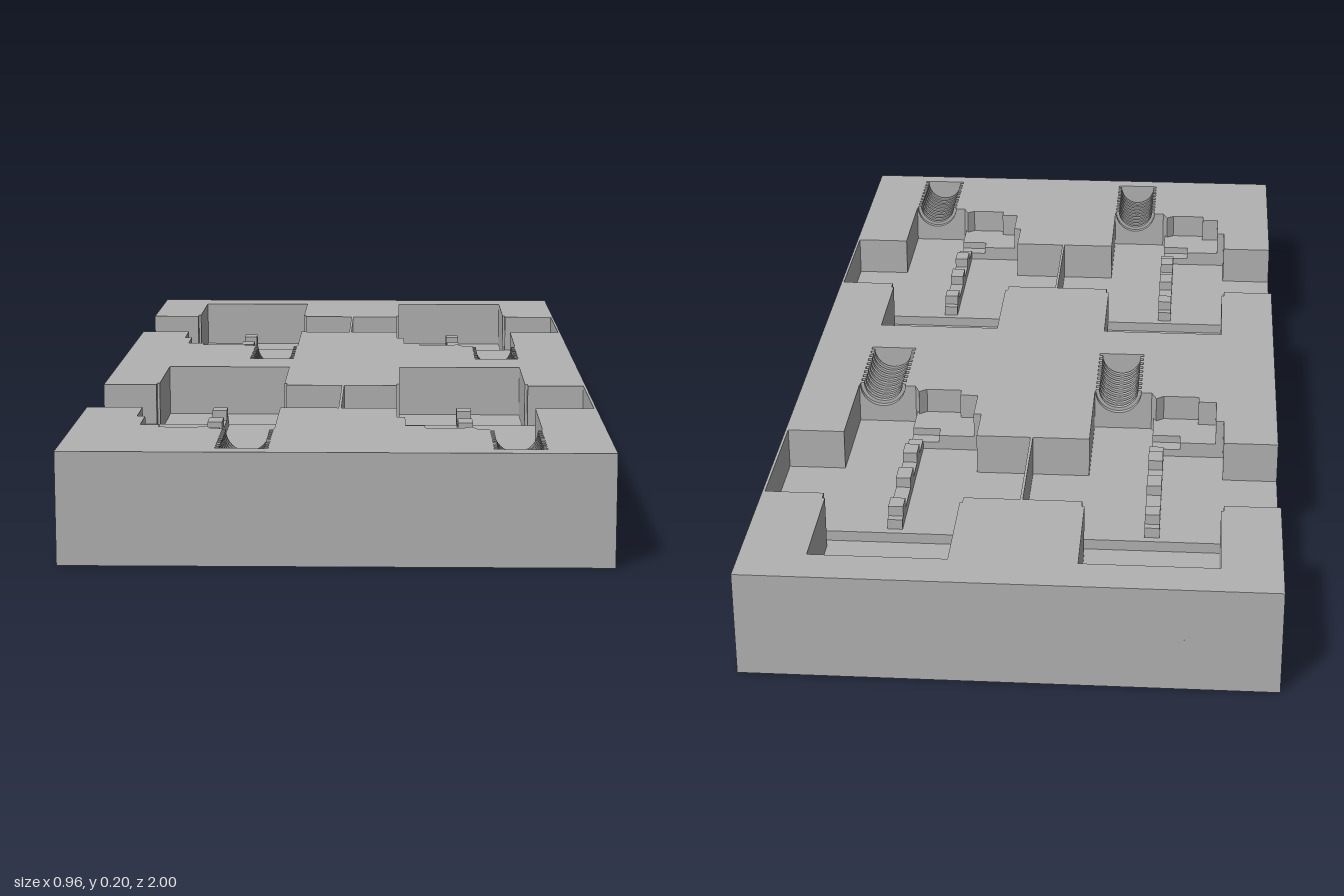
import * as THREE from 'three';

const TOP = 0.2, DEEP = 0.1, FLOOR = 0.12;

// Pocket outline of one cavity, as [x, z] from the cavity's back right corner
const POCKET = [
  [0, 0.31], [0.105, 0.31], [0.105, 0.29], [0.11, 0.29], [0.11, 0.08], [0.36, 0.08],
  [0.36, 0.29], [0.365, 0.29], [0.365, 0.31], [0.475, 0.31], [0.475, 0.565],
  [0.365, 0.565], [0.365, 0.965], [0.27, 0.965], [0.27, 0.78], [0.25, 0.78],
  [0.24, 0.755], [0.225, 0.767], [0.155, 0.767], [0.155, 0.745], [0.12, 0.745],
  [0.12, 0.66], [0.105, 0.66], [0.105, 0.565], [0, 0.565],
];

export function createModel() {
  const model = new THREE.Group();
  const grey = new THREE.MeshStandardMaterial({ color: 0xb2b2b2 });

  const add = (parent, name, geometry) => {
    const mesh = new THREE.Mesh(geometry, grey);
    mesh.name = name;
    parent.add(mesh);
    return mesh;
  };
  const block = (parent, name, x0, x1, z0, z1, y0, y1) => {
    const mesh = add(parent, name, new THREE.BoxGeometry(x1 - x0, y1 - y0, z1 - z0));
    mesh.position.set((x0 + x1) / 2, (y0 + y1) / 2, (z0 + z1) / 2);
  };
  // Shape y is -z, so that the extrusion can be laid flat
  const points = (x, z) => POCKET.map(([u, w]) => new THREE.Vector2(x + u, -(z + w)));

  // Solid lower half
  block(model, 'basePlate', -0.48, 0.48, -1, 1, 0, DEEP);

  // Upper half: the right cavities open through the side, the left ones are closed
  const outline = new THREE.Shape([
    new THREE.Vector2(-0.48, 1),
    ...points(-0.48, -1), ...points(-0.48, 0),
    new THREE.Vector2(-0.48, -1), new THREE.Vector2(0.48, -1), new THREE.Vector2(0.48, 1),
  ]);
  for (const z of [-1, 0]) outline.holes.push(new THREE.Path(points(0, z)));
  const plate = new THREE.ExtrudeGeometry(outline, { depth: TOP - DEEP, bevelEnabled: false });
  plate.rotateX(-Math.PI / 2);
  add(model, 'pocketPlate', plate).position.y = DEEP;

  // Cross-section of the grooved trough: a block with a half round cut
  const troughSlice = (radius, length) => {
    const s = new THREE.Shape();
    s.moveTo(-0.0475, DEEP - TOP);
    s.lineTo(0.0475, DEEP - TOP);
    s.lineTo(0.0475, 0);
    s.lineTo(radius, 0);
    s.absarc(0, 0, radius, 0, -Math.PI, true);
    s.lineTo(-0.0475, 0);
    return new THREE.ExtrudeGeometry(s, { depth: length, bevelEnabled: false, curveSegments: 10 });
  };

  for (const x of [-0.48, 0]) for (const z of [-1, 0]) {
    const cavity = new THREE.Group();
    cavity.name = 'cavity';
    cavity.position.set(x, 0, z);
    model.add(cavity);

    // Floors and shallow ledges
    block(cavity, 'channelFloor', 0, 0.475, 0.31, 0.565, DEEP, FLOOR);
    block(cavity, 'sideFloor', 0.105, 0.245, 0.565, 0.66, DEEP, FLOOR);
    block(cavity, 'longFloor', 0.245, 0.365, 0.565, 0.78, DEEP, FLOOR);
    block(cavity, 'outerLedge', 0.12, 0.19, 0.66, 0.767, DEEP, 0.15);
    block(cavity, 'innerLedge', 0.19, 0.245, 0.69, 0.767, DEEP, 0.15);
    block(cavity, 'lowLedge', 0.19, 0.245, 0.66, 0.69, DEEP, 0.135);

    // Raised rail with stepped blocks
    block(cavity, 'rail', 0.222, 0.25, 0.325, 0.66, FLOOR, 0.14);
    for (const [a, b] of [[0.34, 0.375], [0.455, 0.5], [0.56, 0.6]])
      block(cavity, 'railBlock', 0.222, 0.25, a, b, 0.14, 0.16);

    // Grooved trough
    const count = 19, step = 0.185 / count;
    for (let i = 0; i < count; i++)
      add(cavity, 'troughRib', troughSlice(i % 2 ? 0.039 : 0.046, step))
        .position.set(0.3175, TOP, 0.78 + i * step);
  }
  return model;
}
